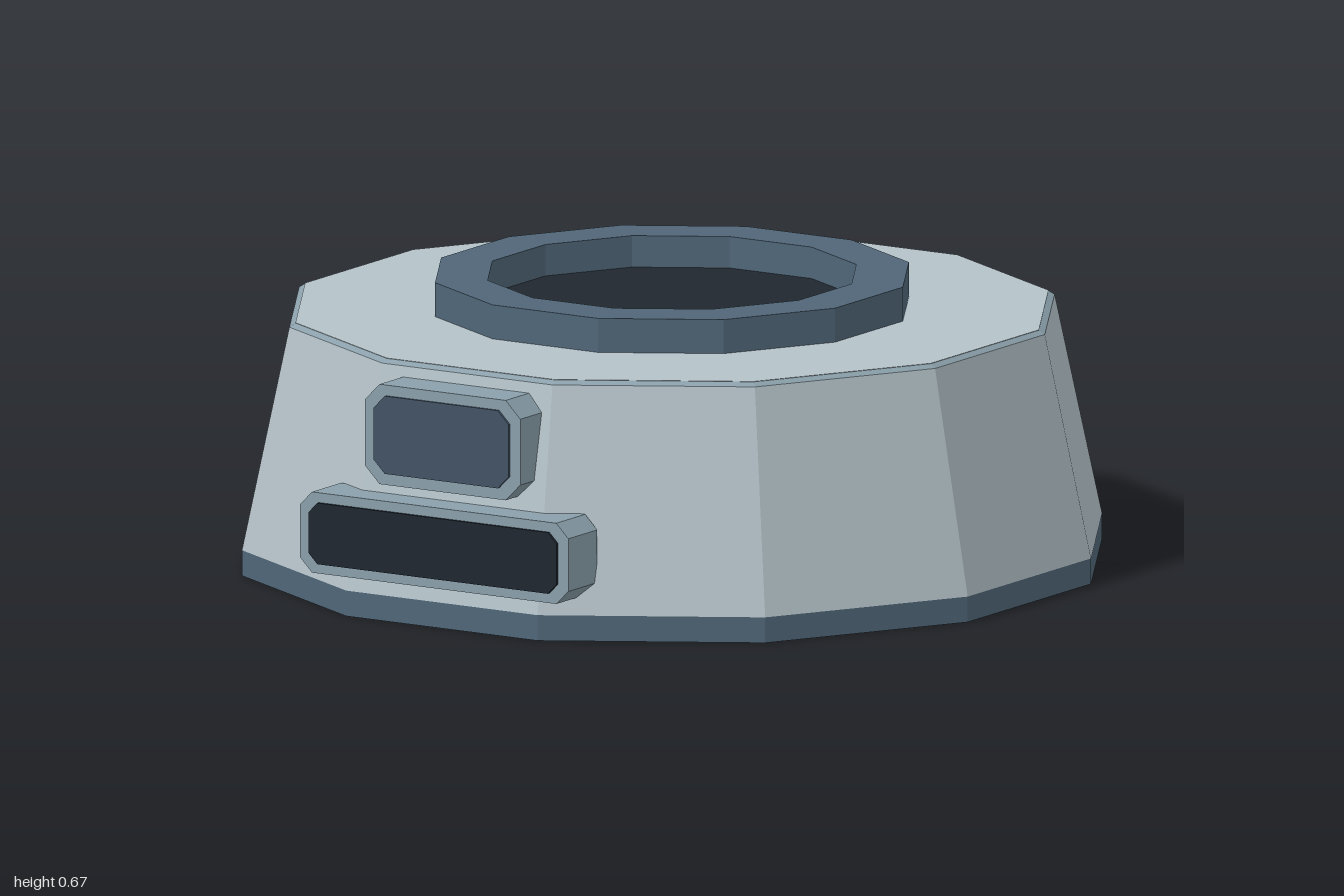
import * as THREE from 'three';

const SIDES = 12;
const CENTRE_Z = -0.02;
// Converts a distance to the flat of the 12-gon into a corner radius
const corner = (flat) => flat / Math.cos(Math.PI / SIDES);

const material = (color) => new THREE.MeshStandardMaterial({ color, flatShading: true });

export function createModel() {
  const model = new THREE.Group();
  const shell = material(0xb4c2c8);
  const trim = material(0x8aa0ab);
  const blue = material(0x506678);
  const glass = material(0x425364);
  const dark = material(0x1f272f);

  const add = (name, geometry, mat) => {
    const mesh = new THREE.Mesh(geometry, mat);
    mesh.name = name;
    model.add(mesh);
    return mesh;
  };

  // Twelve-sided slab or frustum with flats facing the four directions
  const prism = (name, flatBottom, flatTop, y0, y1, mat, open = false) => {
    const geometry = new THREE.CylinderGeometry(
      corner(flatTop), corner(flatBottom), y1 - y0, SIDES, 1, open);
    geometry.rotateY(Math.PI / SIDES);
    geometry.translate(0, (y0 + y1) / 2, CENTRE_Z);
    return add(name, geometry, mat);
  };

  // Base, tapered body and bevelled lid
  prism('baseBand', 0.98, 0.98, 0, 0.06, blue);
  prism('body', 0.98, 0.872, 0.06, 0.58, shell, true);
  prism('lidBevel', 0.872, 0.858, 0.58, 0.589, trim, true);
  prism('lid', 0.858, 0.858, 0.586, 0.59, shell);

  // Raised collar around the dark opening
  const profile = [[0.54, 0.585], [0.54, 0.67], [0.42, 0.67], [0.42, 0.585]]
    .map(([flat, y]) => new THREE.Vector2(corner(flat), y));
  const collar = new THREE.LatheGeometry(profile, SIDES, Math.PI / SIDES);
  collar.translate(0, 0, CENTRE_Z);
  add('collar', collar, blue);
  prism('openingFloor', 0.42, 0.42, 0.585, 0.596, dark);

  // Block with cut corners, extruded along z
  const cutBlock = (name, halfWidth, y0, y1, cut, z0, z1, mat) => {
    const w = halfWidth, c = cut;
    const shape = new THREE.Shape([
      [-w + c, y0], [w - c, y0], [w, y0 + c], [w, y1 - c],
      [w - c, y1], [-w + c, y1], [-w, y1 - c], [-w, y0 + c],
    ].map(([x, y]) => new THREE.Vector2(x, y)));
    const geometry = new THREE.ExtrudeGeometry(shape, { depth: z1 - z0, bevelEnabled: false });
    geometry.translate(0, 0, z0);
    add(name, geometry, mat);
  };

  // Front display and slot, each a housing with an inset panel
  cutBlock('displayHousing', 0.213, 0.32, 0.555, 0.04, 0.83, 0.957, trim);
  cutBlock('displayPanel', 0.185, 0.347, 0.53, 0.03, 0.94, 0.963, glass);
  cutBlock('slotHousing', 0.368, 0.1, 0.29, 0.033, 0.87, 0.993, trim);
  cutBlock('slotPanel', 0.34, 0.123, 0.267, 0.024, 0.97, 1.0, dark);

  return model;
}
